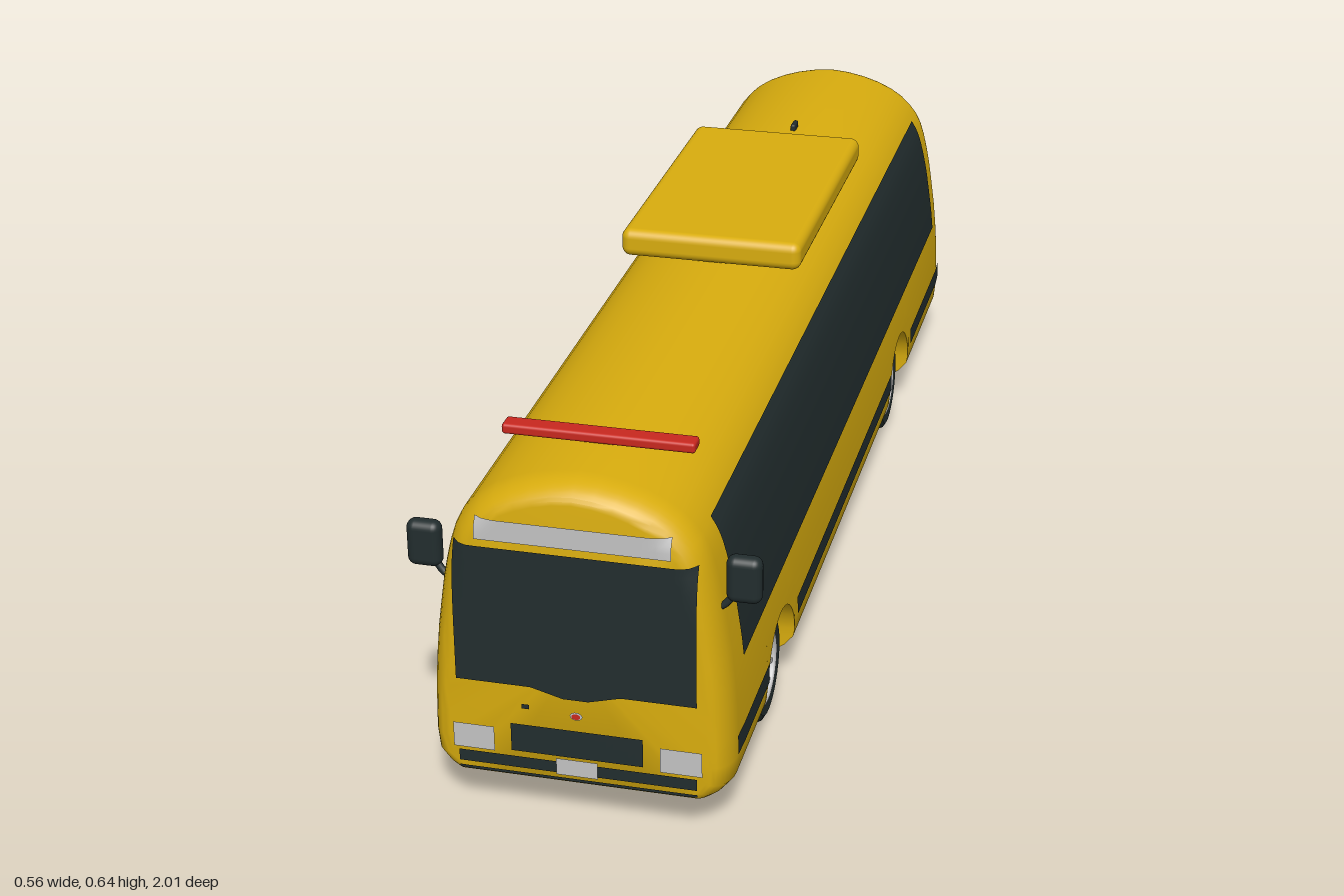
import * as THREE from 'three';
import { toCreasedNormals } from 'three/addons/utils/BufferGeometryUtils.js';
import { RoundedBoxGeometry } from 'three/addons/geometries/RoundedBoxGeometry.js';

const paint = (name, color) => Object.assign(new THREE.MeshStandardMaterial({ color }), { name });

const FLOOR = 0.065, FRONT = 0.995, REAR = -1;
const WHEEL_Z = [-0.495, 0.625], WHEEL_R = 0.093, ARCH_R = 0.107;

// Half width of the body at each height: [y, x]
const PROFILE = [
  [0.065, 0.208], [0.075, 0.223], [0.095, 0.239], [0.13, 0.241], [0.2, 0.239], [0.22, 0.238],
  [0.26, 0.235], [0.31, 0.23], [0.36, 0.223], [0.4, 0.217], [0.43, 0.211], [0.46, 0.204], [0.485, 0.196],
  [0.505, 0.186], [0.525, 0.17], [0.54, 0.154], [0.555, 0.131], [0.568, 0.102], [0.578, 0.07], [0.585, 0.035],
];

function halfWidth(y) {
  const i = Math.max(1, PROFILE.findIndex((p) => p[0] >= y));
  const [y0, x0] = PROFILE[i - 1], [y1, x1] = PROFILE[i];
  return x0 + (x1 - x0) * (y - y0) / (y1 - y0);
}

// Closed cross-section; sill is the height where the outer side starts (raised over the wheels)
function crossSection({ z, end = 0, sill = FLOOR }) {
  const half = [[0.145, FLOOR], [0.145, sill]];
  for (const f of [0, 0.06, 0.18, 0.4, 0.7]) {
    const y = sill + (0.22 - sill) * f;
    half.push([halfWidth(y), y]);
  }
  for (const [y, x] of PROFILE) if (y >= 0.22) half.push([x, y]);
  const ring = [[0, FLOOR], ...half, [0, 0.588], ...half.slice().reverse().map(([x, y]) => [-x, y])];
  return ring.map(([x, y]) => [
    x * (1 - 0.15 * end), FLOOR + 0.012 * end + (y - FLOOR) * (1 - 0.08 * end), z]);
}

function bodyGeometry() {
  const sections = [];
  const N = 8;
  for (let k = 0; k <= N; k++) {
    const a = (k / N) * Math.PI / 2;
    sections.push({ z: REAR + 0.05 * (1 - Math.cos(a)), end: 1 - Math.sin(a) });
  }
  for (const c of WHEEL_Z) {
    sections.push({ z: c - ARCH_R });
    for (let k = 0; k <= 20; k++) {
      const a = Math.PI * (1 - k / 20);
      sections.push({ z: c + ARCH_R * Math.cos(a), sill: WHEEL_R + ARCH_R * Math.sin(a) });
    }
    sections.push({ z: c + ARCH_R });
  }
  for (let k = N; k >= 0; k--) {
    const a = (k / N) * Math.PI / 2;
    sections.push({ z: FRONT - 0.06 * (1 - Math.cos(a)), end: 1 - Math.sin(a) });
  }
  const rings = sections.map(crossSection), n = rings[0].length, last = rings.length - 1;
  const points = rings.flat();
  points.push([0, 0.3, REAR], [0, 0.3, FRONT]);
  const index = [];
  for (let j = 0; j < n; j++) {
    const k = (j + 1) % n;
    for (let i = 0; i < last; i++) {
      const a = i * n + j, b = i * n + k;
      index.push(a, b, b + n, a, b + n, a + n);
    }
    index.push(points.length - 2, k, j, points.length - 1, last * n + j, last * n + k);
  }
  const geo = new THREE.BufferGeometry();
  geo.setAttribute('position', new THREE.Float32BufferAttribute(points.flat(), 3));
  geo.setIndex(index);
  return toCreasedNormals(geo, 0.6);
}

export function createModel() {
  const yellow = paint('body yellow', 0xd9ad0e);
  const black = paint('glass and trim black', 0x222d2e);
  const grey = paint('light grey', 0xc4c4c4);
  const red = paint('signal red', 0xc9281f);
  const bus = new THREE.Group();
  bus.name = 'bus';

  const add = (name, geo, mat, x = 0, y = 0, z = 0, parent = bus) => {
    const mesh = new THREE.Mesh(geo, mat);
    mesh.name = name;
    mesh.position.set(x, y, z);
    parent.add(mesh);
    return mesh;
  };
  const body = add('body', bodyGeometry(), yellow);

  // Thin painted panel laid over the body; u is x on the ends and z on the sides
  const caster = new THREE.Raycaster();
  function panel(name, mat, axis, sign, u0, u1, y0, y1, lift = 0.004) {
    const w = u1 - u0, h = y1 - y0, step = axis === 'z' ? 0.012 : 0.05;
    const geo = new THREE.PlaneGeometry(w, h, Math.ceil(w / step), Math.ceil(h / 0.015));
    const pos = geo.attributes.position, dir = new THREE.Vector3(), from = new THREE.Vector3();
    let depth = axis === 'z' ? 0.99 : 0.22;
    dir[axis] = -sign;
    for (let i = 0; i < pos.count; i++) {
      const u = (u0 + u1) / 2 + pos.getX(i) * (axis === 'z' ? sign : -sign);
      from.set(u, (y0 + y1) / 2 + pos.getY(i), u);
      from[axis] = sign * 2;
      caster.set(from, dir);
      const hit = caster.intersectObject(body)[0];
      if (hit) depth = Math.abs(hit.point[axis]);
      from[axis] = sign * (depth + lift);
      pos.setXYZ(i, from.x, from.y, from.z);
    }
    geo.computeVertexNormals();
    return add(name, geo, mat);
  }

  // Front face
  panel('windshield', black, 'z', 1, -0.19, 0.19, 0.24, 0.475);
  panel('destinationSign', grey, 'z', 1, -0.152, 0.152, 0.487, 0.522);
  panel('grille', black, 'z', 1, -0.105, 0.105, 0.122, 0.171);
  panel('frontBumperStripe', black, 'z', 1, -0.19, 0.19, 0.092, 0.112);
  panel('frontLowerStripe', black, 'z', 1, -0.19, 0.19, 0.079, 0.084);
  panel('frontPlate', grey, 'z', 1, -0.033, 0.033, 0.09, 0.119, 0.006);
  panel('frontHandle', black, 'z', 1, -0.086, -0.074, 0.2, 0.208);
  const dip = new THREE.Shape([[-0.075, 0.241], [-0.02, 0.226], [0.02, 0.226], [0.075, 0.241]]
    .map(([x, y]) => new THREE.Vector2(x, y)));
  add('windshieldDip', new THREE.ShapeGeometry(dip), black, 0, 0, FRONT + 0.004);
  add('badgeRim', new THREE.CircleGeometry(0.01, 24), grey, 0, 0.197, FRONT + 0.003).scale.y = 0.7;
  add('badge', new THREE.CircleGeometry(0.007, 24), red, 0, 0.197, FRONT + 0.0045).scale.y = 0.7;

  // Rear face
  panel('rearWindow', black, 'z', -1, -0.19, 0.19, 0.345, 0.475);
  panel('rearStripe', black, 'z', -1, -0.19, 0.19, 0.082, 0.097);
  panel('rearPlate', grey, 'z', -1, -0.03, 0.03, 0.105, 0.14);
  panel('rearPlateTrim', black, 'z', -1, -0.034, 0.034, 0.101, 0.144, 0.0025);

  for (const s of [1, -1]) {
    const ends = (a, b) => (s > 0 ? [a, b] : [-b, -a]);
    panel('headlight', grey, 'z', 1, ...ends(0.132, 0.198), 0.117, 0.16);
    panel('taillight', red, 'z', -1, ...ends(0.142, 0.198), 0.12, 0.2);

    // Sides: window band and stripe broken by the wheel arches
    panel('sideWindows', black, 'x', s, -0.9, 0.89, 0.275, 0.51);
    for (const [a, b] of [[-0.97, -0.605], [-0.385, 0.515], [0.735, 0.95]])
      panel('sideStripe', black, 'x', s, a, b, 0.135, 0.168);

    // Mirrors
    const mirror = new THREE.Group();
    mirror.name = 'mirror';
    bus.add(mirror);
    add('mirrorHousing', new RoundedBoxGeometry(0.055, 0.077, 0.03, 4, 0.014), black, s * 0.25, 0.4385, 0.94, mirror);
    const glass = add('mirrorGlass', new RoundedBoxGeometry(0.04, 0.06, 0.006, 3, 0.003), grey, s * 0.25, 0.4385, 0.925, mirror);
    glass.scale.z = 0.8;
    const arm = new THREE.CatmullRomCurve3([[0.195, 0.385, 0.945], [0.218, 0.392, 0.945], [0.237, 0.415, 0.942]]
      .map(([x, y, z]) => new THREE.Vector3(s * x, y, z)));
    add('mirrorArm', new THREE.TubeGeometry(arm, 8, 0.006, 8), black, 0, 0, 0, mirror);
  }

  // Doors on the right side
  panel('frontDoor', black, 'x', -1, 0.735, 0.88, 0.135, 0.28, 0.005);
  panel('frontDoorEdge', black, 'x', -1, 0.69, 0.735, 0.202, 0.28, 0.005);
  panel('middleDoor', black, 'x', -1, -0.1, 0.09, 0.135, 0.28, 0.005);

  // Roof
  add('roofUnit', new RoundedBoxGeometry(0.322, 0.05, 0.565, 4, 0.016), yellow, 0, 0.613, -0.153);
  add('roofLightBar', new RoundedBoxGeometry(0.304, 0.017, 0.032, 3, 0.005), red, 0, 0.597, 0.833);
  add('roofAntenna', new RoundedBoxGeometry(0.01, 0.016, 0.032, 2, 0.004), black, 0, 0.592, -0.59);

  // Wheels: the axle runs along y before the group is turned outward
  const R = WHEEL_R;
  const lathe = (pts, n = 40) => new THREE.LatheGeometry(pts.map(([r, y]) => new THREE.Vector2(r, y)), n);
  const tyre = toCreasedNormals(lathe([[0.06, -0.033], [0.08, -0.033], [R - 0.004, -0.028], [R, -0.02], [R, -0.008],
    [R - 0.003, -0.006], [R - 0.003, 0.006], [R, 0.008], [R, 0.02], [R - 0.004, 0.028], [0.08, 0.033],
    [0.063, 0.031], [0.06, 0.012]]), 0.6);
  const rim = lathe([[0.057, 0.012], [0.055, 0.029], [0.059, 0.033], [0.064, 0.031], [0.062, 0.012]]);
  const spoke = new THREE.BoxGeometry(0.046, 0.008, 0.007);
  for (const s of [1, -1]) for (const z of WHEEL_Z) {
    const wheel = new THREE.Group();
    wheel.name = 'wheel';
    wheel.position.set(s * 0.187, R, z);
    wheel.rotation.z = -s * Math.PI / 2;
    bus.add(wheel);
    add('tyre', tyre, black, 0, 0, 0, wheel);
    add('wheelBack', new THREE.CylinderGeometry(0.061, 0.061, 0.045, 32), black, 0, -0.0105, 0, wheel);
    add('rim', rim, grey, 0, 0, 0, wheel).material.side = THREE.DoubleSide;
    add('hub', new THREE.CylinderGeometry(0.013, 0.016, 0.014, 20), grey, 0, 0.023, 0, wheel);
    add('brakeCaliper', new THREE.BoxGeometry(0.014, 0.006, 0.026), red, 0, 0.014, 0, wheel).position.x = s * 0.032;
    for (let k = 0; k < 10; k++) {
      const a = (k / 10) * Math.PI * 2;
      add('spoke', spoke, grey, Math.cos(a) * 0.034, 0.023, Math.sin(a) * 0.034, wheel).rotation.y = -a;
    }
  }
  return bus;
}
